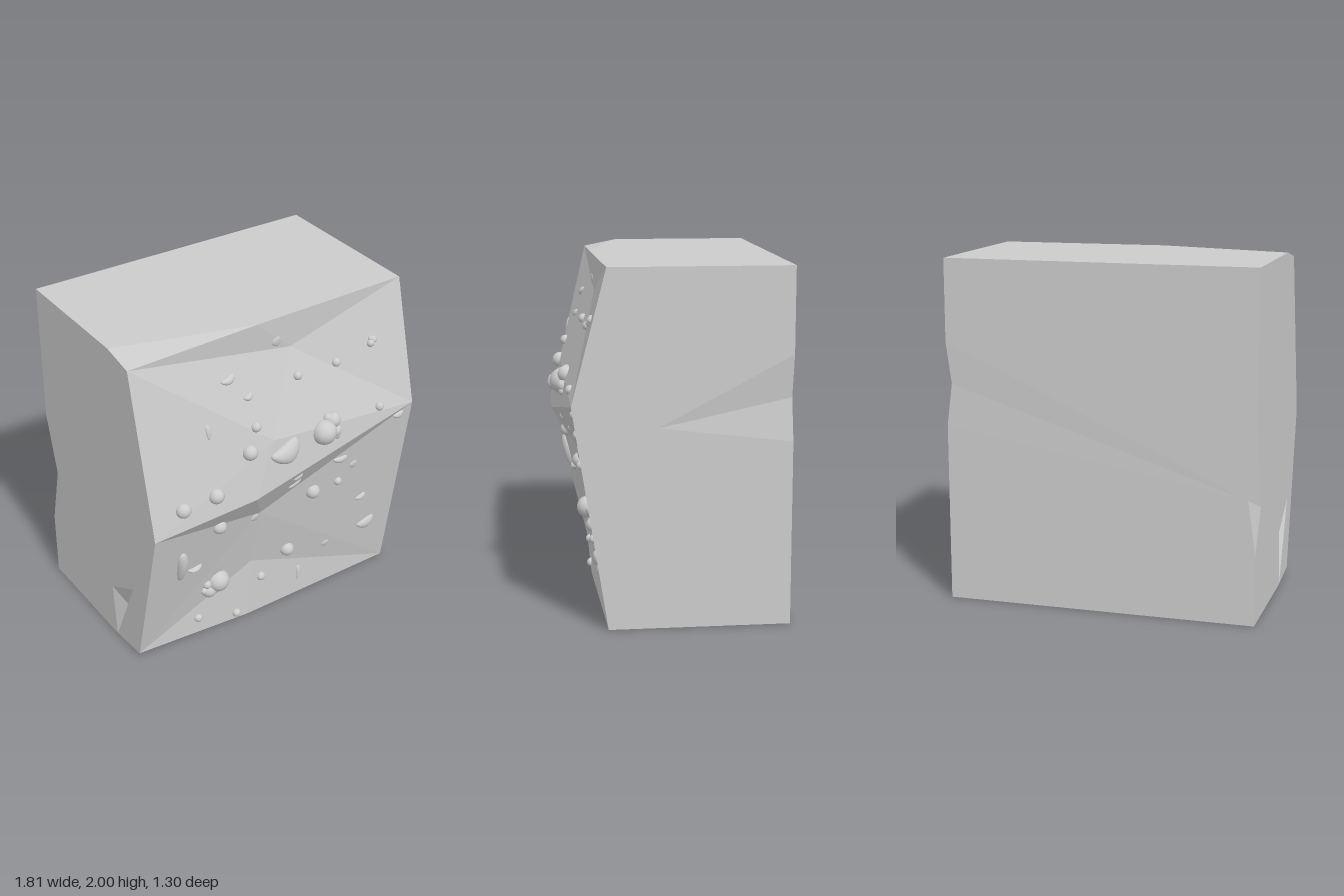
import * as THREE from 'three';

// Corner points of the chiselled block
const P = {
  // top: front-left corner is chamfered
  T0: [-0.905, 2, 0.18], TL: [-0.905, 1.96, 0.38], TC: [-0.1, 2, 0.4], TR: [0.905, 2, 0.375],
  tl: [-0.905, 2, -0.64], tr: [0.905, 2, -0.64],
  // bottom
  B0: [-0.905, 0, 0.12], BL: [-0.905, 0.03, 0.38], BC: [-0.15, 0, 0.4], BR: [0.905, 0, 0.375],
  bl: [-0.905, 0, -0.64], br: [0.905, 0, -0.64],
  // front ridge and the points above and below it
  RL: [-0.905, 0.985, 0.61], RM: [-0.25, 1.035, 0.635], RR: [0.905, 1.255, 0.57],
  U: [0.13, 1.79, 0.39], V: [-0.1, 1.35, 0.58], W: [-0.12, 0.8, 0.477], Q: [-0.12, 0.39, 0.39],
  // chips in the rear edges and the side
  K1: [-0.905, 1.16, -0.64], K: [-0.86, 0.72, -0.64], K2: [-0.905, 0.41, -0.64], S: [-0.905, 0.65, -0.5],
  G1: [0.905, 1.52, -0.64], G: [0.875, 1.28, -0.635], G2: [0.905, 1.04, -0.64], M: [0.905, 1.13, 0.1],
  A: [-0.905, 0.48, 0.335], B: [-0.905, 0.34, 0.085], D: [-0.86, 0.25, 0.2],
};

// Each entry is a fan around its first corner
const FACES = [
  // upper front
  'RL RM V', 'RL V TL', 'V RM RR', 'TL V U', 'U V RR', 'U RR TR', 'TL U TC', 'U TR TC',
  // lower front
  'RL W RM', 'RM W RR', 'RL BL W', 'BL Q W', 'W Q BR', 'W BR RR', 'BL BC Q', 'Q BC BR',
  // top, bottom and chamfers
  'TC TR tr tl T0', 'BC B0 bl br BR', 'T0 TL TC', 'B0 BC BL',
  // right side with its chips
  'S K2 bl B0 B A RL TL T0 tl K1', 'K1 K S', 'K K2 S', 'A BL RL', 'B0 BL A', 'D B0 A', 'D A B', 'D B B0',
  // left side and back
  'M G1 tr TR RR BR br G2 G G1', 'K K1 tl tr G1 G G2 br bl K2',
];

function buildBlock() {
  const pos = [];
  for (const face of FACES) {
    const c = face.split(' ').map((n) => P[n]);
    for (let i = 1; i < c.length - 1; i++) pos.push(...c[0], ...c[i], ...c[i + 1]);
  }
  const geo = new THREE.BufferGeometry();
  geo.setAttribute('position', new THREE.Float32BufferAttribute(pos, 3));
  geo.computeVertexNormals();
  return geo;
}

// Round grains: x, y, radius
const GRAINS = [
  [0.14, 1.63, 0.027], [0.415, 1.625, 0.027], [-0.2, 1.455, 0.03], [-0.26, 1.325, 0.046],
  [-0.5, 1.14, 0.046], [-0.71, 1.12, 0.045], [0.66, 1.305, 0.027], [-0.435, 0.857, 0.043],
  [0.25, 0.815, 0.045], [0.43, 0.823, 0.026], [0.13, 0.387, 0.044], [-0.05, 0.245, 0.028],
  [-0.5, 0.12, 0.026], [-0.23, 0.043, 0.027],
];

// Clusters: lists of x, y, radius
const CLUSTERS = [
  [[0.245, 1.285, 0.075], [0.315, 1.335, 0.048], [0.325, 1.27, 0.038], [0.285, 1.355, 0.03], [0.335, 1.24, 0.025]],
  [[-0.37, 0.365, 0.07], [-0.43, 0.315, 0.048], [-0.45, 0.37, 0.027], [-0.39, 0.295, 0.03], [-0.465, 0.325, 0.025]],
  [[0.66, 1.675, 0.025], [0.68, 1.69, 0.022], [0.665, 1.7, 0.018]],
];

// Flattened lumps: x, y, half length, half width, turn, bend, height
const LUMPS = [
  [-0.03, 1.255, 0.1, 0.062, 0.25, 0.35, 0.04], [0.715, 0.365, 0.064, 0.04, 0.25, 0.3, 0.025],
  [-0.68, 0.665, 0.115, 0.034, 1.6, 0.1, 0.035], [-0.575, 0.585, 0.05, 0.018, -0.05, 0.3, 0.025],
  [-0.315, 1.74, 0.048, 0.023, 0.2, 0.25, 0.018], [-0.21, 1.62, 0.032, 0.02, 0.2, 0.3, 0.018],
  [0.42, 0.998, 0.052, 0.023, -0.1, 0.2, 0.018], [0.07, 1.038, 0.034, 0.021, 0.3, 0.3, 0.012],
  [0.08, 0.962, 0.047, 0.018, 0.35, 0.3, 0.012], [0.635, 0.612, 0.037, 0.022, 0.3, 0.3, 0.018],
  [0.81, 1.195, 0.036, 0.021, 0.2, 0.3, 0.018], [0.235, 0.15, 0.05, 0.018, 1.5, 0.2, 0.01],
  [-0.495, 1.51, 0.045, 0.015, 1.6, 0.1, 0.01], [0.035, 1.85, 0.03, 0.03, 0, 0, 0.008],
  [0.53, 0.915, 0.028, 0.026, 0, 0, 0.008], [-0.155, 0.775, 0.03, 0.026, 0, 0, 0.008],
  [0.42, 0.31, 0.026, 0.024, 0, 0, 0.008],
];

// Ball stretched and bent into a bean
function lumpGeometry([, , a, b, , bend, h]) {
  const geo = new THREE.IcosahedronGeometry(1, 4);
  const p = geo.attributes.position;
  for (let i = 0; i < p.count; i++) {
    const x = p.getX(i);
    const y = p.getY(i) * (1 + 0.25 * x);
    p.setXYZ(i, x * a, y * b + (x * x - 0.4) * bend * a, p.getZ(i) * h);
  }
  geo.computeVertexNormals();
  return geo;
}

export function createModel() {
  const model = new THREE.Group();
  model.name = 'stoneBlock';
  const grey = new THREE.MeshStandardMaterial({ color: 0xcccccc });
  const faceted = new THREE.MeshStandardMaterial({ color: 0xcccccc, flatShading: true });

  const block = new THREE.Mesh(buildBlock(), faceted);
  block.name = 'block';
  model.add(block);

  // Finds the spot on the front face at x, y
  const ray = new THREE.Raycaster();
  const toBack = new THREE.Vector3(0, 0, -1);
  const surface = (x, y) => {
    ray.set(new THREE.Vector3(x, y, 3), toBack);
    return ray.intersectObject(block)[0];
  };
  const addGrain = (parent, [x, y, r]) => {
    const grain = new THREE.Mesh(new THREE.IcosahedronGeometry(r, 4), grey);
    grain.name = 'grain';
    grain.position.copy(surface(x, y).point);
    parent.add(grain);
  };

  const grains = new THREE.Group();
  grains.name = 'grains';
  GRAINS.forEach((g) => addGrain(grains, g));
  model.add(grains);

  CLUSTERS.forEach((list) => {
    const cluster = new THREE.Group();
    cluster.name = 'grainCluster';
    list.forEach((g) => addGrain(cluster, g));
    model.add(cluster);
  });

  // Lumps lie flat against the face beneath them
  const lumps = new THREE.Group();
  lumps.name = 'lumps';
  LUMPS.forEach((l) => {
    const hit = surface(l[0], l[1]);
    const lump = new THREE.Mesh(lumpGeometry(l), grey);
    lump.name = 'lump';
    lump.position.copy(hit.point);
    lump.quaternion.setFromUnitVectors(new THREE.Vector3(0, 0, 1), hit.face.normal);
    lump.rotateZ(l[4]);
    lumps.add(lump);
  });
  model.add(lumps);
  return model;
}
